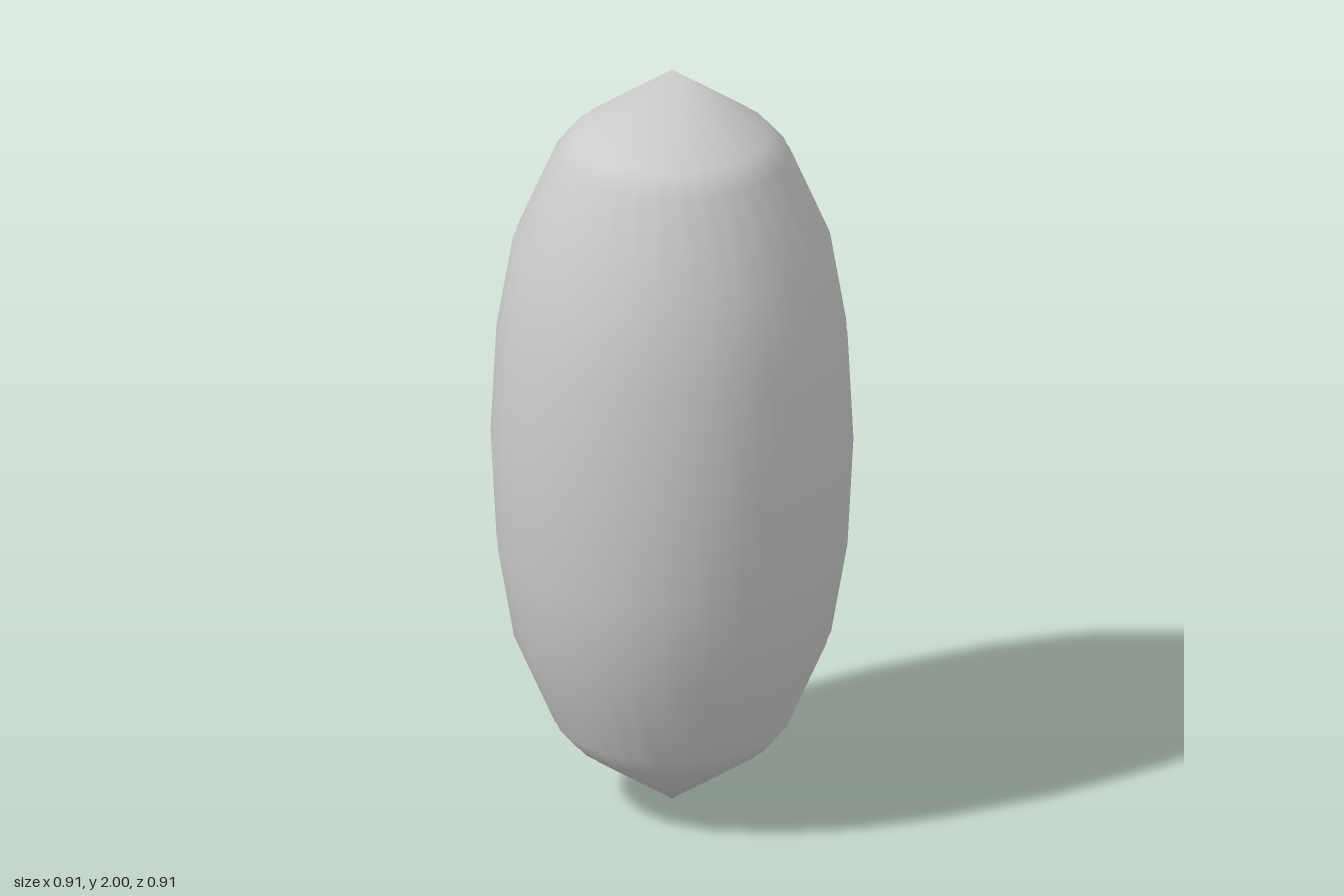
import * as THREE from 'three';
import { mergeVertices } from 'three/addons/utils/BufferGeometryUtils.js';

const RIBS = 32;
const VALLEY = 0.981; // valley radius relative to the crest

export function createModel() {
  const group = new THREE.Group();
  group.name = 'ribbedPod';

  // Upper half of the crest profile [radius, height above the middle]
  const half = [[0.441, 0.29], [0.4, 0.53], [0.297, 0.77], [0.25, 0.825], [0, 1]];
  const profile = [
    ...half.map(([r, h]) => new THREE.Vector2(r, 1 - h)).reverse(),
    new THREE.Vector2(0.456, 1),
    ...half.map(([r, h]) => new THREE.Vector2(r, 1 + h)),
  ];

  // Alternate crest and valley around the axis
  const lathe = new THREE.LatheGeometry(profile, RIBS * 2);
  const pos = lathe.attributes.position;
  for (let i = 0; i < pos.count; i++) {
    const column = Math.floor(i / profile.length);
    const k = column % 2 ? VALLEY : 1;
    pos.setX(i, pos.getX(i) * k);
    pos.setZ(i, pos.getZ(i) * k);
  }

  // Weld the seam and poles for continuous smooth normals
  lathe.deleteAttribute('uv');
  lathe.deleteAttribute('normal');
  const geometry = mergeVertices(lathe, 1e-4);
  geometry.computeVertexNormals();

  const body = new THREE.Mesh(geometry, new THREE.MeshStandardMaterial({ color: 0xcccccc }));
  body.name = 'ribbedBody';
  group.add(body);
  return group;
}
